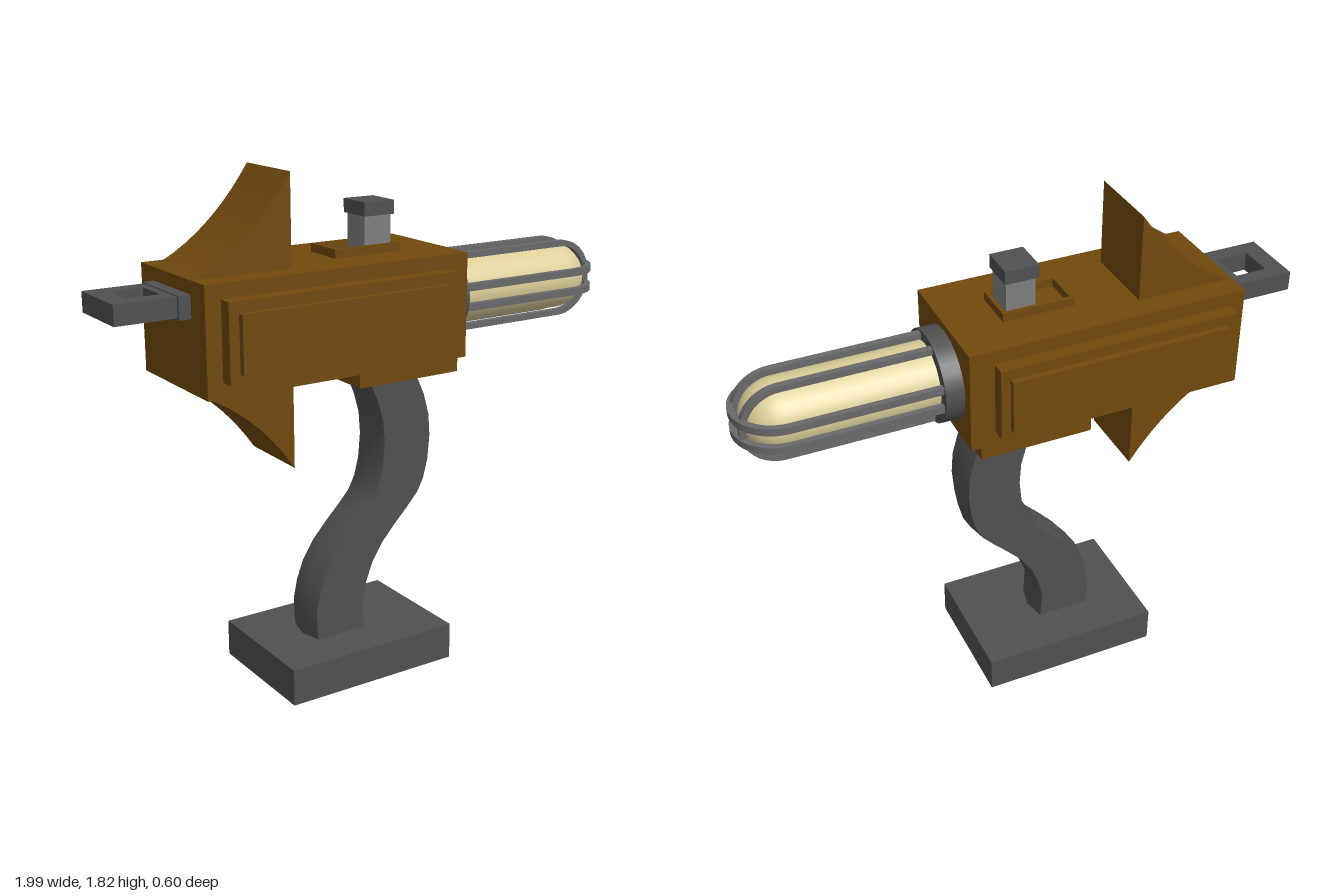
import * as THREE from 'three';

const mat = (name, color) => {
  const m = new THREE.MeshStandardMaterial({ color });
  m.name = name;
  return m;
};

export function createModel() {
  const model = new THREE.Group();
  model.name = 'cagedLamp';
  const brown = mat('brown casing', 0x70490c);
  const dark = mat('dark grey', 0x505050);
  const mid = mat('cage grey', 0x6a6a6a);
  const light = mat('light grey', 0x7e7e7e);
  const glow = mat('pale bulb', 0xdccd98);

  const add = (name, geometry, material, parent = model) => {
    const mesh = new THREE.Mesh(geometry, material);
    mesh.name = name;
    parent.add(mesh);
    return mesh;
  };
  // Box given by its extents on each axis
  const box = (name, material, x0, x1, y0, y1, z0, z1) => {
    const mesh = add(name, new THREE.BoxGeometry(x1 - x0, y1 - y0, z1 - z0), material);
    mesh.position.set((x0 + x1) / 2, (y0 + y1) / 2, (z0 + z1) / 2);
    return mesh;
  };
  const rect = (target, x0, x1, y0, y1) =>
    target.moveTo(x0, y0).lineTo(x1, y0).lineTo(x1, y1).lineTo(x0, y1).closePath();
  // Horizontal rectangular frame: outer and inner extents in x and z
  const frame = (name, material, outer, inner, y0, y1) => {
    const shape = new THREE.Shape();
    rect(shape, ...outer);
    const hole = new THREE.Path();
    rect(hole, ...inner);
    shape.holes.push(hole);
    const g = new THREE.ExtrudeGeometry(shape, { depth: y1 - y0, bevelEnabled: false });
    g.rotateX(-Math.PI / 2);
    add(name, g, material).position.y = y0;
  };

  // Foot
  box('base', dark, -0.46, 0.205, 0, 0.133, -0.237, 0.237);

  // S-curved neck: rows of [height, centre x], with a slight ridge on both narrow faces
  const rows = [[0.1, -0.163], [0.17, -0.17], [0.24, -0.172], [0.31, -0.157], [0.38, -0.13],
    [0.45, -0.085], [0.51, -0.03], [0.56, 0.02], [0.61, 0.066], [0.66, 0.092], [0.73, 0.11],
    [0.82, 0.118], [0.9, 0.112], [0.98, 0.09], [1.04, 0.062], [1.1, 0.025]];
  const n = rows.length - 1;
  const neck = new THREE.BoxGeometry(0.2, 1, 0.16, 1, n, 2);
  const p = neck.attributes.position;
  for (let i = 0; i < p.count; i++) {
    const [y, cx] = rows[Math.round((p.getY(i) + 0.5) * n)];
    const half = Math.abs(p.getZ(i)) < 0.01 ? 0.117 : 0.098;
    p.setXYZ(i, cx + Math.sign(p.getX(i)) * half, y, p.getZ(i));
  }
  neck.computeVertexNormals();
  add('neck', neck, dark);

  // Casing with stepped side panels
  box('casing', brown, -0.745, 0.26, 1.137, 1.505, -0.225, 0.225);
  box('casingUnderside', brown, -0.18, 0.225, 1.09, 1.137, -0.225, 0.225);
  for (const s of [-1, 1]) {
    const side = s > 0 ? 'front' : 'back';
    const z = (a, b) => (s > 0 ? [a, b] : [-b, -a]);
    box(side + 'Panel', brown, -0.69, 0.173, 1.19, 1.455, ...z(0.225, 0.275));
    box(side + 'PanelInset', brown, -0.655, 0.14, 1.222, 1.417, ...z(0.275, 0.298));
  }

  // Curved fins above and below
  const finGeometry = (s, y) => {
    const shape = new THREE.Shape();
    shape.moveTo(-0.745, y);
    shape.quadraticCurveTo(-0.535, y + s * 0.09, -0.387, y + s * 0.312);
    shape.lineTo(-0.387, y);
    shape.closePath();
    const g = new THREE.ExtrudeGeometry(shape, { depth: 0.28, bevelEnabled: false, curveSegments: 10 });
    return g.translate(0, 0, -0.14);
  };
  add('topFin', finGeometry(1, 1.503), brown);
  add('bottomFin', finGeometry(-1, 1.138), brown);

  // Push button in a raised frame
  frame('buttonFrame', brown, [-0.18, 0.08, -0.076, 0.08], [-0.165, 0.065, -0.062, 0.066], 1.505, 1.535);
  box('buttonStem', light, -0.048, 0.058, 1.505, 1.635, -0.053, 0.053);
  box('buttonCap', dark, -0.055, 0.065, 1.632, 1.68, -0.065, 0.063);

  // Rear handle
  box('handleMount', dark, -0.787, -0.745, 1.382, 1.46, -0.13, 0.13);
  frame('handle', dark, [-1, -0.787, -0.12, 0.12], [-0.932, -0.815, -0.06, 0.065], 1.388, 1.457);

  // Lamp head, pointing along +x and slightly wider than tall
  const lamp = new THREE.Group();
  lamp.name = 'lamp';
  lamp.position.set(0, 1.322, -0.012);
  model.add(lamp);

  const collar = add('collar', new THREE.CylinderGeometry(0.158, 0.158, 0.067, 32), dark, lamp);
  collar.geometry.rotateZ(-Math.PI / 2).scale(1, 1, 1.09);
  collar.position.x = 0.292;

  const profile = [new THREE.Vector2(0.122, 0.3)];
  for (let i = 0; i <= 10; i++) {
    const a = (i / 10) * Math.PI / 2;
    profile.push(new THREE.Vector2(0.122 * Math.cos(a), 0.84 + 0.122 * Math.sin(a)));
  }
  const bulb = new THREE.LatheGeometry(profile, 32);
  bulb.rotateZ(-Math.PI / 2).scale(1, 1, 1.04);
  add('bulb', bulb, glow, lamp);

  // Cage: U-shaped flat bars, two upright and two level
  const hoop = (r, t, w) => {
    const shape = new THREE.Shape();
    shape.moveTo(0.3, -r).lineTo(0.835, -r);
    shape.absarc(0.835, 0, r, -Math.PI / 2, Math.PI / 2, false);
    shape.lineTo(0.3, r).lineTo(0.3, r - t).lineTo(0.835, r - t);
    shape.absarc(0.835, 0, r - t, Math.PI / 2, -Math.PI / 2, true);
    shape.lineTo(0.3, t - r).closePath();
    const g = new THREE.ExtrudeGeometry(shape, { depth: w, bevelEnabled: false, curveSegments: 16 });
    return g.translate(0, 0, -w / 2);
  };
  for (const s of [-1, 1]) {
    add('uprightCageBar', hoop(0.142, 0.022, 0.024), mid, lamp).position.z = s * 0.052;
    const level = add('levelCageBar', hoop(0.157, 0.022, 0.026), mid, lamp);
    level.rotation.x = Math.PI / 2;
    level.position.y = s * 0.036;
  }
  return model;
}
